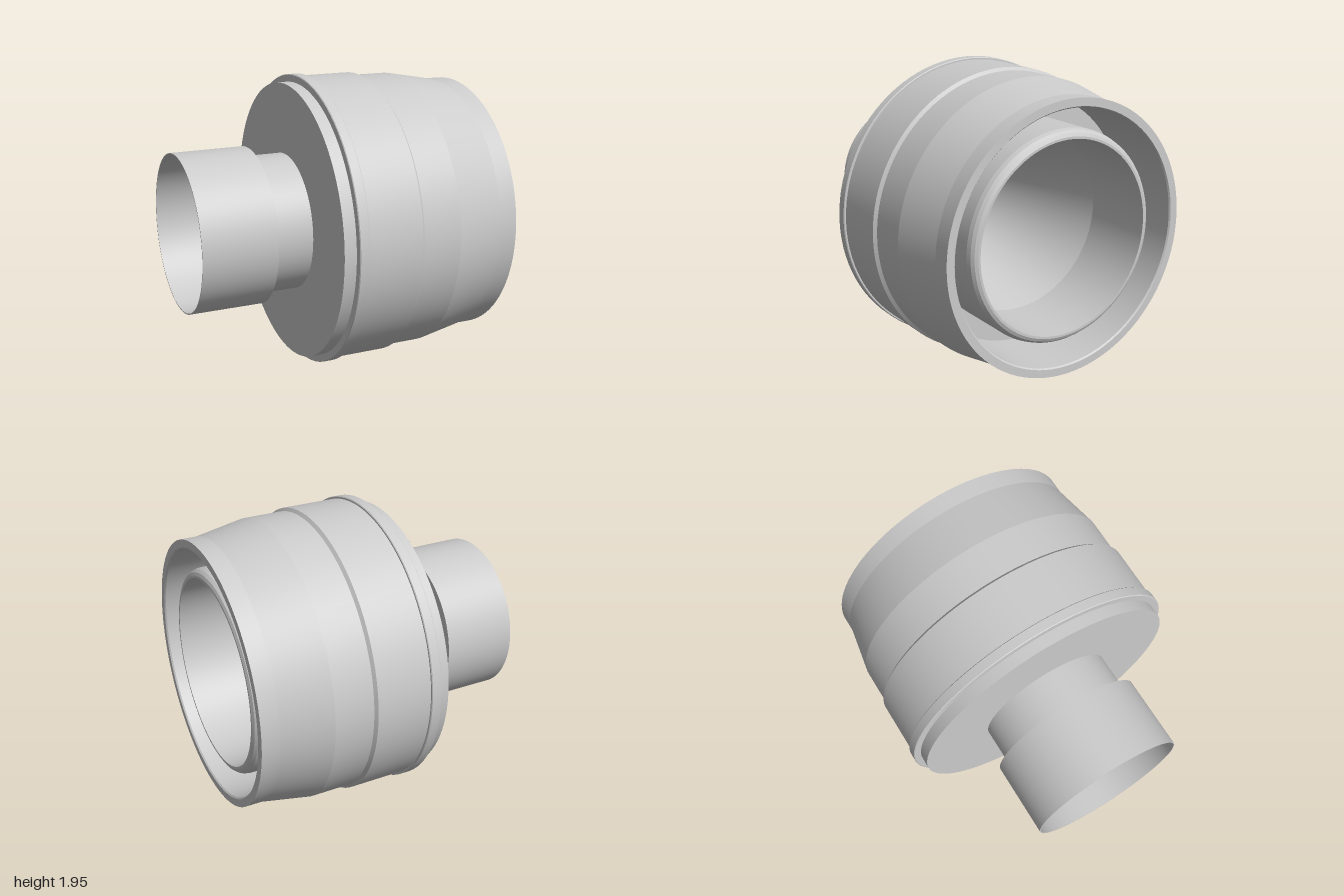
import * as THREE from 'three';
import { toCreasedNormals } from 'three/addons/utils/BufferGeometryUtils.js';

const AXIS_HEIGHT = 0.975;

export function createModel() {
  const group = new THREE.Group();
  group.name = 'pipeCoupling';
  const material = new THREE.MeshStandardMaterial({ color: 0xcccccc, side: THREE.DoubleSide });

  // Revolves a profile of [x, radius] points around the horizontal axis
  function turned(name, profile) {
    const points = profile.map(([x, r]) => new THREE.Vector2(r, x));
    const geometry = toCreasedNormals(new THREE.LatheGeometry(points, 96), 0.1);
    geometry.rotateZ(-Math.PI / 2);
    const mesh = new THREE.Mesh(geometry, material);
    mesh.name = name;
    mesh.position.y = AXIS_HEIGHT;
    group.add(mesh);
  }

  // Thin-walled sleeve with the narrower neck behind it
  turned('rearSleeve', [
    [-0.505, 0.375], [-0.505, 0.518], [-1, 0.518], [-1, 0.525],
    [-0.505, 0.525], [-0.505, 0.458],
  ]);
  turned('neck', [[-0.505, 0.458], [-0.245, 0.458]]);

  // Back plate and its raised ring
  turned('backFlange', [[-0.245, 0.458], [-0.245, 0.925], [-0.165, 0.925]]);
  turned('flangeRing', [
    [-0.165, 0.925], [-0.165, 0.97], [-0.16, 0.975], [-0.1, 0.975],
    [-0.095, 0.97], [-0.095, 0.96],
  ]);

  // Outer housing, tapering to the front lip, with the deep groove inside it
  turned('outerHousing', [
    [-0.095, 0.96], [0.272, 0.96], [0.29, 0.94], [0.55, 0.94], [0.88, 0.88],
    [1, 0.88], [1, 0.828], [0.99, 0.82], [0.5, 0.82],
  ]);
  turned('grooveFloor', [[0.5, 0.82], [0.5, 0.683]]);

  // Inner tube with a rounded tip, narrowing to the bore
  turned('innerTube', [
    [0.5, 0.683], [0.9, 0.683], [0.93, 0.675], [0.95, 0.66], [0.96, 0.64], [0.96, 0.625],
  ]);
  turned('taperedBore', [[0.96, 0.625], [0.47, 0.62], [-0.505, 0.375]]);

  return group;
}
